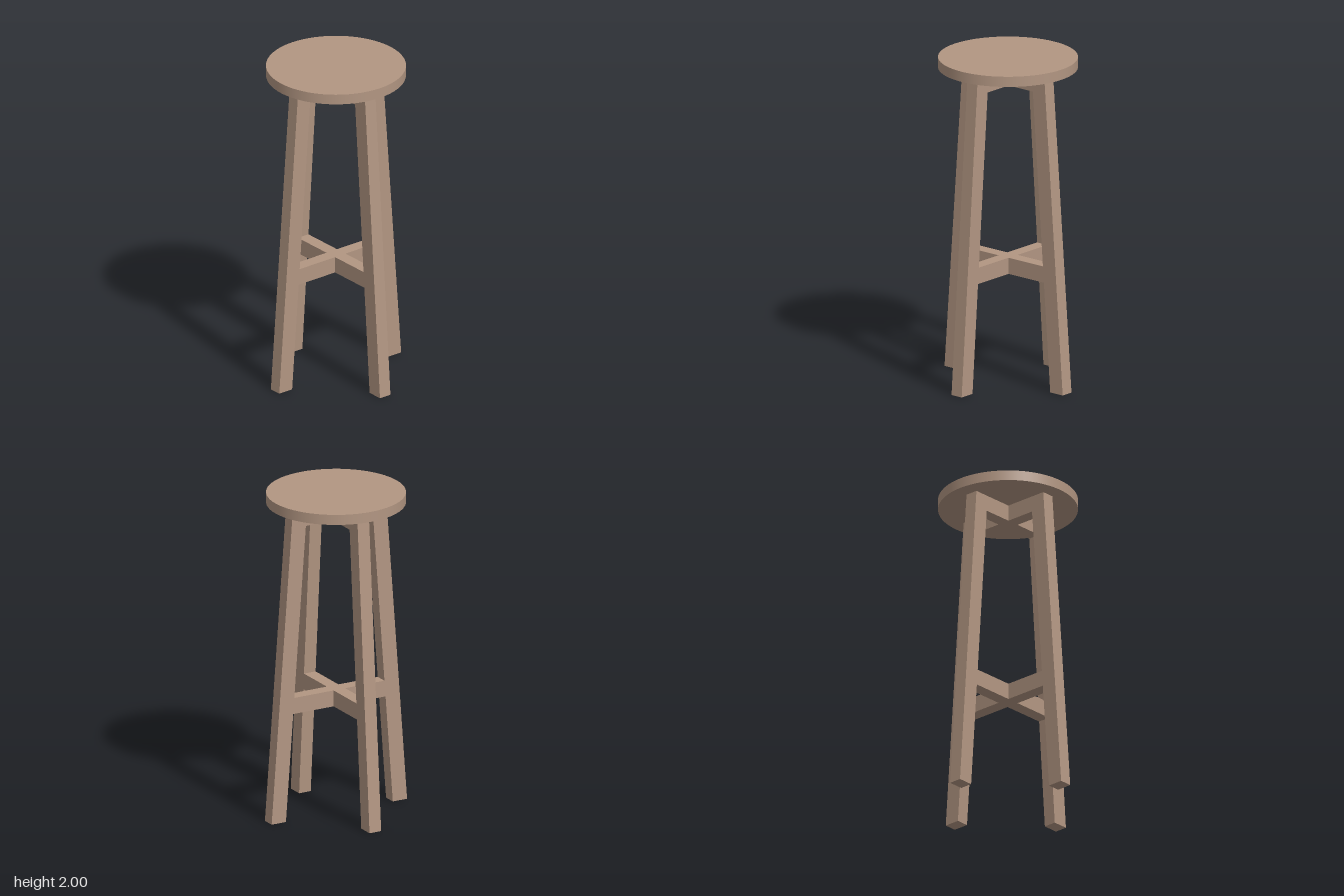
import * as THREE from 'three';

const SEAT_BOTTOM = 1.937, SEAT_RADIUS = 0.416, THICK = 0.08;

// Radial distance of a leg's inner and outer faces at height y
const inner = (y) => 0.367 - 0.0745 * y;
const outer = (y) => 0.465 - 0.0745 * y;

export function createModel() {
  const wood = new THREE.MeshStandardMaterial({ color: 0xb29682 });
  wood.name = 'wood';
  const stool = new THREE.Group();
  stool.name = 'stool';

  // Flat board cut from an outline in the x-y plane, turned about the y axis
  function board(name, points, angle) {
    const shape = new THREE.Shape(points.map(([x, y]) => new THREE.Vector2(x, y)));
    const geometry = new THREE.ExtrudeGeometry(shape, { depth: THICK, bevelEnabled: false });
    geometry.translate(0, 0, -THICK / 2);
    const mesh = new THREE.Mesh(geometry, wood);
    mesh.name = name;
    mesh.rotation.y = angle;
    stool.add(mesh);
  }

  // Round seat
  const seat = new THREE.Mesh(
    new THREE.CylinderGeometry(SEAT_RADIUS, SEAT_RADIUS, 2 - SEAT_BOTTOM, 64), wood);
  seat.name = 'seat';
  seat.position.y = (2 + SEAT_BOTTOM) / 2;
  stool.add(seat);

  // Four splayed legs
  ['leftLeg', 'backLeg', 'rightLeg', 'frontLeg'].forEach((name, i) => {
    board(name, [
      [inner(0), 0], [outer(0), 0],
      [outer(SEAT_BOTTOM), SEAT_BOTTOM], [inner(SEAT_BOTTOM), SEAT_BOTTOM],
    ], i * Math.PI / 2);
  });

  // Crossed rails: one full rail, and two half rails that meet its sides
  for (const [name, low, high] of [['footRail', 0.67, 0.77], ['seatRail', 1.838, SEAT_BOTTOM]]) {
    board(name + 'Side', [
      [-inner(low), low], [inner(low), low], [inner(high), high], [-inner(high), high],
    ], 0);
    for (const [end, angle] of [['Back', Math.PI / 2], ['Front', -Math.PI / 2]]) {
      board(name + end, [
        [THICK / 2, low], [inner(low), low], [inner(high), high], [THICK / 2, high],
      ], angle);
    }
  }
  return stool;
}
